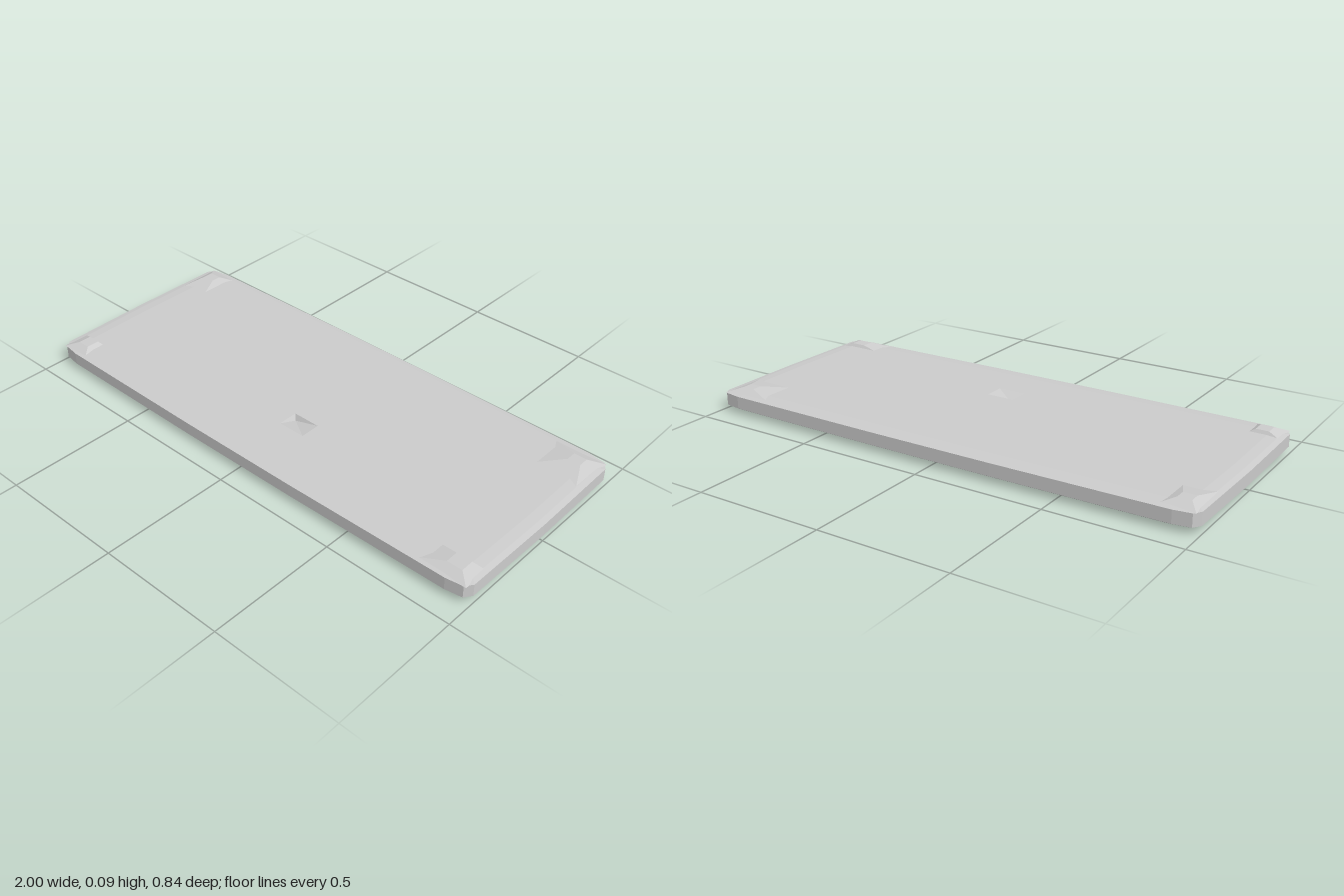
import * as THREE from 'three';

const material = new THREE.MeshStandardMaterial({ color: 0xcccccc, flatShading: true });

// Outline of one quarter of the slab, from the end to the long side (x, z)
const QUARTER = [[1, 0], [0.995, 0.375], [0.975, 0.403], [0.91, 0.413], [0.25, 0.42]];

// Full outline, counterclockwise seen from above
function outline() {
  const points = [];
  for (const [sx, sz] of [[1, -1], [-1, -1], [-1, 1], [1, 1]]) {
    const quarter = QUARTER.map(([x, z]) => [x * sx, z * sz]);
    points.push(...(sx * sz < 0 ? quarter : quarter.reverse().slice(0, -1)));
  }
  return points;
}

// Horizontal ring of the slab, pulled in by a distance, at height y
const ring = (inset, y) => outline().map(([x, z]) => [x * (1 - inset), y, z * (1 - inset / 0.42)]);

function triangles(list) {
  const geometry = new THREE.BufferGeometry();
  geometry.setAttribute('position', new THREE.Float32BufferAttribute(list.flat(2), 3));
  geometry.computeVertexNormals();
  return geometry;
}

// Slightly domed underside, upright rim and bevelled upper edge
function shell() {
  const rings = [ring(0.26, 0.003), ring(0.12, 0.007), ring(0.03, 0.014), ring(0.012, 0.018),
    ring(0, 0.025), ring(0, 0.073), ring(0.022, 0.077), ring(0.06, 0.08)];
  const list = [];
  const count = rings[0].length;
  for (let i = 0; i < count; i++) {
    const j = (i + 1) % count;
    list.push([[0, 0.001, 0], rings[0][j], rings[0][i]]);
    for (let k = 0; k + 1 < rings.length; k++) {
      const [lower, upper] = [rings[k], rings[k + 1]];
      list.push([lower[i], lower[j], upper[j]], [lower[i], upper[j], upper[i]]);
    }
  }
  return triangles(list);
}

// Pocket corners (x, z)
const POCKET = [[0, 0.2], [0.11, 0.2], [0.11, 0.12], [0, 0.12]];

// Flat top with the pocket cut out
function topPanel() {
  const flat = (x, z) => new THREE.Vector2(x, -z);
  const shape = new THREE.Shape(ring(0.06, 0).map(([x, , z]) => flat(x, z)));
  shape.holes.push(new THREE.Path(POCKET.map(([x, z]) => flat(x, z))));
  return new THREE.ShapeGeometry(shape).rotateX(-Math.PI / 2).translate(0, 0.08, 0);
}

// Pocket floor sloping down to its deepest point near the back corner
function pocketFloor() {
  const corners = POCKET.map(([x, z]) => [x, 0.08, z]);
  return triangles(corners.map((p, i) => [p, corners[(i + 1) % 4], [0.012, 0.06, 0.132]]));
}

// Low faceted bump: base and top rectangles given as [x0, x1, z0, z1]
function bump(base, top, height) {
  const geometry = new THREE.BoxGeometry(1, 1, 1);
  const p = geometry.attributes.position;
  for (let i = 0; i < p.count; i++) {
    const up = p.getY(i) > 0;
    const r = up ? top : base;
    p.setXYZ(i, p.getX(i) < 0 ? r[0] : r[1], up ? height : 0.073, p.getZ(i) < 0 ? r[2] : r[3]);
  }
  geometry.computeVertexNormals();
  return geometry;
}

export function createModel() {
  const group = new THREE.Group();
  const add = (name, geometry) => {
    const mesh = new THREE.Mesh(geometry, material);
    mesh.name = name;
    group.add(mesh);
  };
  add('slabShell', shell());
  add('topPanel', topPanel());
  add('pocketFloor', pocketFloor());

  // Raised corners: steep on the inner front edge, long ramps at the back
  add('frontLeftBump', bump([0.78, 0.985, 0.3, 0.405], [0.88, 0.94, 0.315, 0.365], 0.091));
  add('frontRightBump', bump([-0.985, -0.86, 0.3, 0.405], [-0.94, -0.89, 0.315, 0.365], 0.091));
  add('backLeftBump', bump([0.76, 0.985, -0.4, -0.2], [0.88, 0.93, -0.355, -0.315], 0.092));
  add('backRightBump', bump([-0.985, -0.85, -0.4, -0.2], [-0.95, -0.9, -0.355, -0.315], 0.092));
  return group;
}
